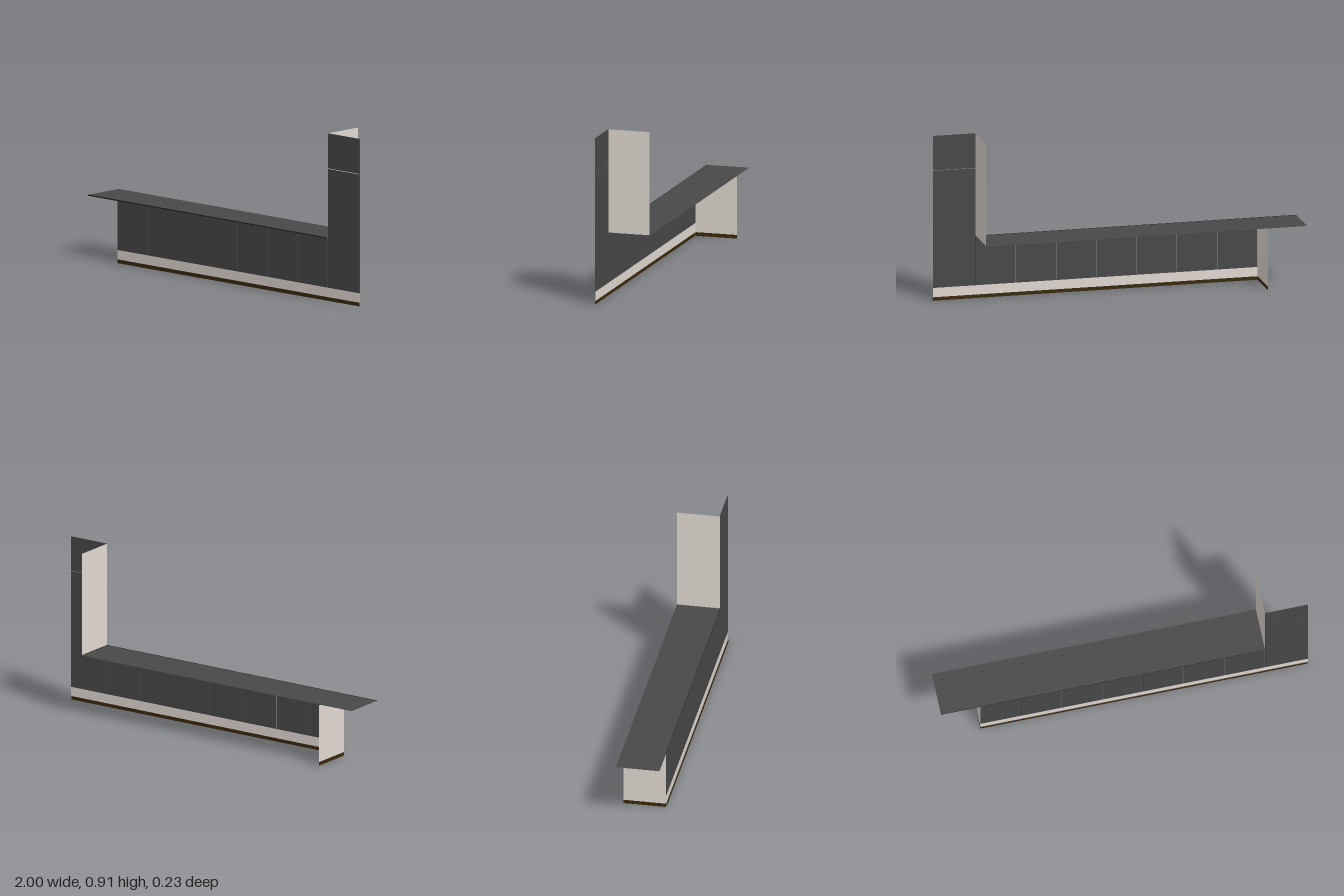
import * as THREE from 'three';

const material = (name, color) => {
  const m = new THREE.MeshStandardMaterial({ color, side: THREE.DoubleSide });
  m.name = name;
  return m;
};

export function createModel() {
  const group = new THREE.Group();
  const charcoal = material('charcoal', 0x484848);
  const cream = material('cream', 0xe2dad3);
  const brown = material('dark brown', 0x3a290a);
  const edgeDark = material('edge dark', 0x282828);

  const LEFT = -0.785, STEP = 0.765, RIGHT = 1;   // run end, tall unit start, tall unit end
  const FRONT = 0.113, BACK = -0.118;

  const add = (name, geometry, mat) => {
    const mesh = new THREE.Mesh(geometry, mat);
    mesh.name = name;
    group.add(mesh);
    return mesh;
  };
  // Upright panel facing the front
  const frontPanel = (name, x0, x1, y0, y1, z, mat) =>
    add(name, new THREE.PlaneGeometry(x1 - x0, y1 - y0)
      .translate((x0 + x1) / 2, (y0 + y1) / 2, z), mat);
  // Upright panel across the depth, facing -x
  const sidePanel = (name, x, y0, y1, mat) =>
    add(name, new THREE.PlaneGeometry(FRONT - BACK, y1 - y0)
      .rotateY(-Math.PI / 2).translate(x, (y0 + y1) / 2, (FRONT + BACK) / 2), mat);
  // Thin door with a small gap all round
  const door = (name, x0, x1, y0, y1) =>
    add(name, new THREE.BoxGeometry(x1 - x0 - 0.003, y1 - y0 - 0.003, 0.003)
      .translate((x0 + x1) / 2, (y0 + y1) / 2, FRONT), charcoal);

  // Row of low doors
  const count = 7, width = (STEP - LEFT) / count;
  for (let i = 0; i < count; i++) {
    door('lowDoor' + (i + 1), LEFT + i * width, LEFT + (i + 1) * width, 0.07, 0.338);
  }

  // Tall unit doors
  door('tallDoor', STEP, RIGHT, 0.07, 0.717);
  door('upperDoor', STEP, RIGHT, 0.717, 0.91);

  // Plinth: cream band over a brown base strip
  frontPanel('plinthBand', LEFT, RIGHT, 0.02, 0.071, FRONT - 0.001, cream);
  frontPanel('baseStrip', LEFT, RIGHT, 0, 0.02, FRONT + 0.002, brown);

  // End walls
  sidePanel('endWall', LEFT, 0.02, 0.335, cream);
  sidePanel('endBaseStrip', LEFT, 0, 0.02, brown);
  sidePanel('tallSideWall', STEP, 0.345, 0.908, cream);

  // Worktop with overhang and front edge
  add('worktop', new THREE.PlaneGeometry(STEP + 1, 0.235)
    .rotateX(-Math.PI / 2).translate((STEP - 1) / 2, 0.342, -0.002), charcoal);
  frontPanel('worktopEdge', -1, STEP, 0.337, 0.344, 0.1155, edgeDark);

  return group;
}
